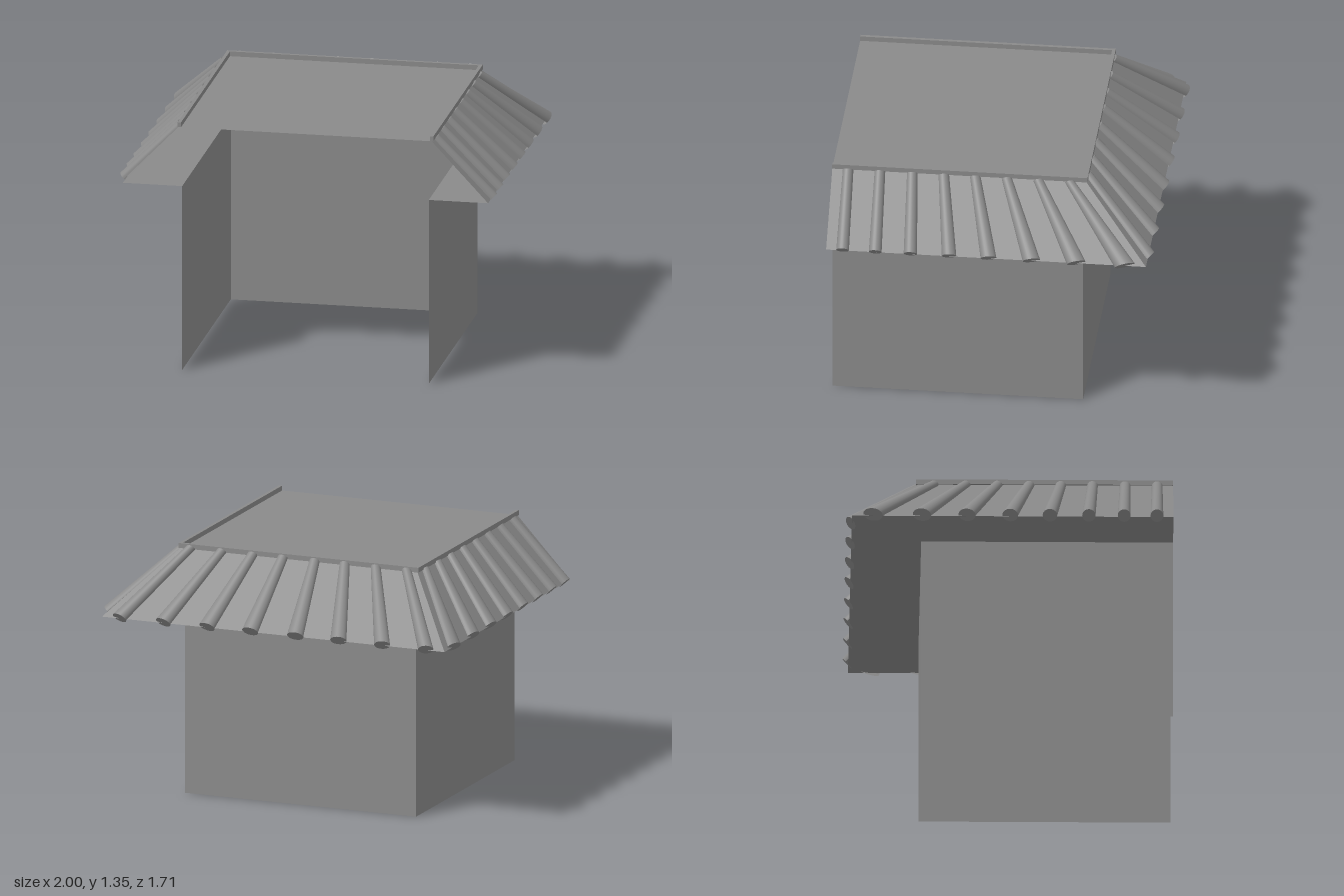
import * as THREE from 'three';
import { ParametricGeometry } from 'three/addons/geometries/ParametricGeometry.js';

const WALL_H = 1, TOP_Y = 1.32, FRONT = 0.855;
const WALL = { x: 0.655, z: -0.458 };  // wall footprint
const EAVE = { x: 0.97, z: -0.822 };   // lower roof edge
const RIDGE = { x: 0.67, z: -0.475 };  // upper roof edge

export function createModel() {
  const group = new THREE.Group();
  const grey = new THREE.MeshStandardMaterial({ color: 0x8a8a8a, side: THREE.DoubleSide });

  const add = (name, geometry) => {
    const mesh = new THREE.Mesh(geometry, grey);
    mesh.name = name;
    group.add(mesh);
    return mesh;
  };

  // Flat four-cornered panel, corners anticlockwise seen from outside
  const quad = (name, a, b, c, d) => {
    const g = new THREE.BufferGeometry();
    g.setAttribute('position', new THREE.Float32BufferAttribute([a, b, c, a, c, d].flat(), 3));
    g.computeVertexNormals();
    add(name, g);
  };

  // Band around the left, back and right between two U-shaped outlines
  const band = (name, lo, yLo, hi, yHi) => {
    const outline = (p, y) => [[p.x, y, FRONT], [p.x, y, p.z], [-p.x, y, p.z], [-p.x, y, FRONT]];
    const low = outline(lo, yLo), high = outline(hi, yHi);
    ['Left', 'Back', 'Right'].forEach((side, i) =>
      quad(name + side, low[i], low[i + 1], high[i + 1], high[i]));
  };

  band('wall', WALL, 0, WALL, WALL_H);
  band('soffit', EAVE, WALL_H, WALL, WALL_H);
  band('roofSlope', EAVE, WALL_H, RIDGE, TOP_Y);

  // Flat roof deck
  quad('roofDeck', [-RIDGE.x, TOP_Y, FRONT], [RIDGE.x, TOP_Y, FRONT],
    [RIDGE.x, TOP_Y, RIDGE.z], [-RIDGE.x, TOP_Y, RIDGE.z]);

  // Raised trim around three sides of the deck
  const trimH = 0.026, trimW = 0.018;
  const trimY = TOP_Y + trimH / 2, backZ = RIDGE.z - trimW / 2;
  for (const s of [-1, 1]) {
    add('sideTrim', new THREE.BoxGeometry(trimW, trimH, FRONT - backZ))
      .position.set(s * RIDGE.x, trimY, (FRONT + backZ) / 2);
  }
  add('backTrim', new THREE.BoxGeometry(2 * RIDGE.x + trimW, trimH, trimW))
    .position.set(0, trimY, RIDGE.z);

  // Tapered half-round rib on a slope, with a full oval end at the eave;
  // edge runs along the eave, the end is cut partly square to the rib
  const rib = (name, from, to, edge, halfWidth) => {
    const a = new THREE.Vector3(...from), b = new THREE.Vector3(...to);
    const axis = b.clone().sub(a).normalize();
    const normal = axis.clone().cross(edge).normalize();
    if (normal.y < 0) normal.negate();
    const across = edge.clone().addScaledVector(axis, -0.5 * axis.dot(edge));
    // Point at an angle round the rib, t along it, k from centre to surface
    const point = (angle, t, k, target) => target.lerpVectors(a, b, t)
      .addScaledVector(across, k * Math.cos(angle) * THREE.MathUtils.lerp(halfWidth, 0.028, t))
      .addScaledVector(normal, k * Math.sin(angle) * THREE.MathUtils.lerp(0.035, 0.026, t));
    const part = (suffix, fn, slices, stacks) => {
      const g = new ParametricGeometry(fn, slices, stacks);
      g.computeVertexNormals();
      add(name + suffix, g);
    };
    part('Shell', (u, v, p) => point(Math.PI * u, v, 1, p), 12, 1);
    part('EaveEnd', (u, v, p) => point(2 * Math.PI * u, 0, v, p), 24, 1);
    part('TopEnd', (u, v, p) => point(Math.PI * u, 1, v, p), 12, 1);
  };

  // Positions along the eave and along the deck edge, fanning towards the back
  const sideRibs = [[0.768, 0.772], [0.597, 0.605], [0.413, 0.435], [0.21, 0.27],
    [0.003, 0.105], [-0.222, -0.06], [-0.457, -0.225], [-0.712, -0.39]];
  const backRibs = [[0.128, 0.09], [0.372, 0.26], [0.62, 0.435], [0.867, 0.61]];
  const alongX = new THREE.Vector3(1, 0, 0), alongZ = new THREE.Vector3(0, 0, 1);
  for (const s of [-1, 1]) {
    for (const [low, high] of sideRibs)
      rib('sideRib', [s * 0.975, 1.005, low], [s * 0.674, 1.316, high],
        alongZ, 0.033 + 0.09 * (high - low));
    for (const [low, high] of backRibs)
      rib('backRib', [s * low, 1.005, -0.828], [s * high, 1.325, -0.478], alongX, 0.045);
  }
  return group;
}
